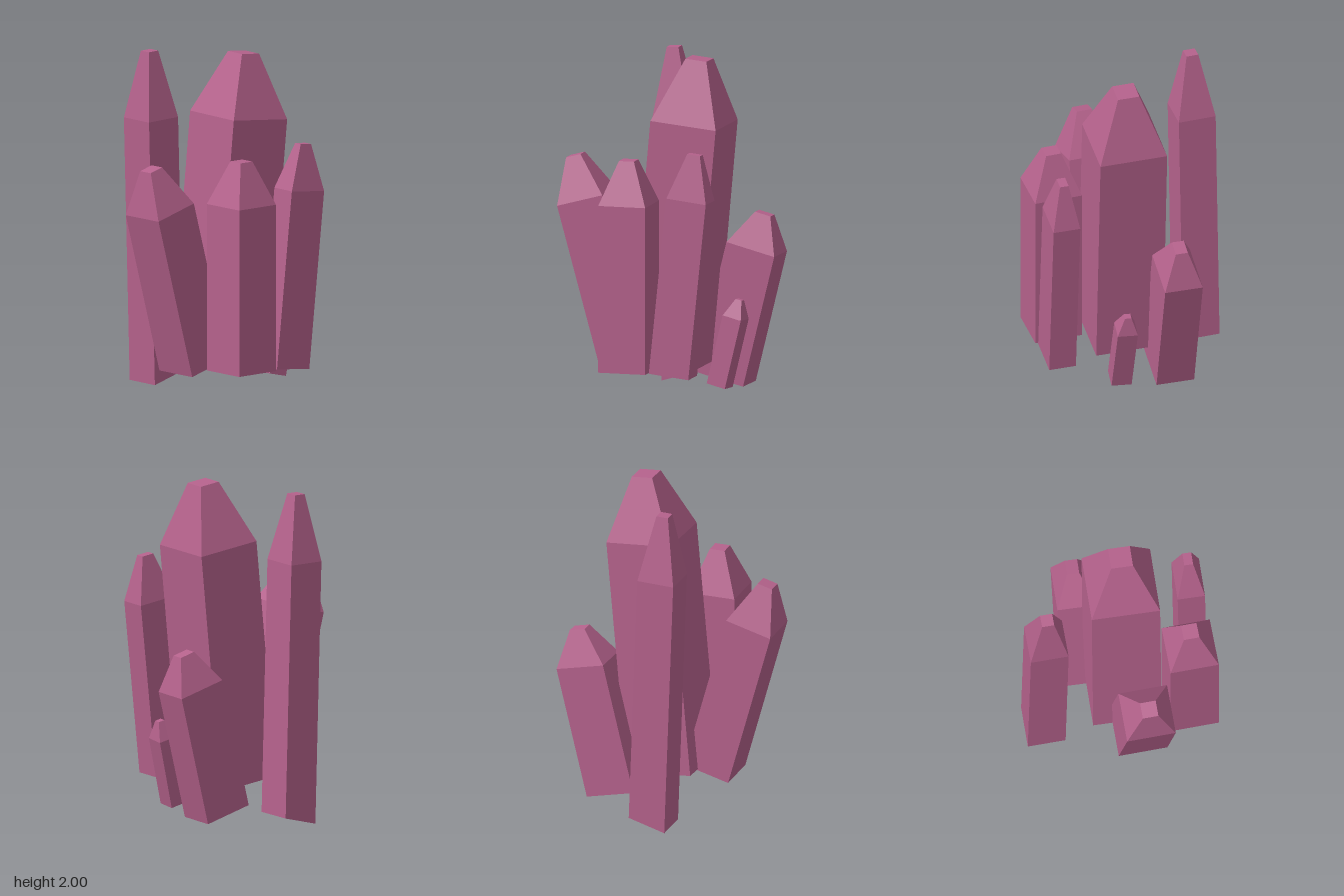
import * as THREE from 'three';

const SHOULDER = 0.795; // share of the length where the taper starts
const TIP = 0.32;       // width of the flat tip relative to the shaft

// Square shaft with a tapered, flat-topped point, running from base centre to tip centre
function crystal({ name, base, tip, w, d, yaw = 0, baseSlope = 0 }, material) {
  const from = new THREE.Vector3(...base);
  const axis = new THREE.Vector3(...tip).sub(from);
  const length = axis.length();
  const geometry = new THREE.BoxGeometry(w, 1, d, 1, 2, 1);
  const p = geometry.attributes.position;
  for (let i = 0; i < p.count; i++) {
    const y = p.getY(i);
    if (y > 0.25) p.setXYZ(i, p.getX(i) * TIP, length, p.getZ(i) * TIP);
    else if (y > -0.25) p.setY(i, length * SHOULDER);
    else p.setY(i, p.getX(i) * baseSlope);
  }
  geometry.computeVertexNormals();
  const mesh = new THREE.Mesh(geometry, material);
  mesh.name = name;
  mesh.position.copy(from);
  mesh.quaternion
    .setFromUnitVectors(new THREE.Vector3(0, 1, 0), axis.normalize())
    .multiply(new THREE.Quaternion().setFromAxisAngle(new THREE.Vector3(0, 1, 0), yaw));
  return mesh;
}

const CRYSTALS = [
  { name: 'mainCrystal', base: [0.022, 0.19, 0.035], tip: [0.19, 1.992, 0.056], w: 0.405, d: 0.405, yaw: -0.04 },
  { name: 'backCrystal', base: [-0.043, 0.03, -0.448], tip: [-0.108, 1.97, -0.438], w: 0.225, d: 0.225, yaw: -0.01, baseSlope: 0.25 },
  { name: 'frontCrystal', base: [-0.139, 0.184, 0.409], tip: [-0.139, 1.43, 0.409], w: 0.287, d: 0.287 },
  { name: 'frontLeftCrystal', base: [0.148, 0.178, 0.465], tip: [0.285, 1.495, 0.475], w: 0.245, d: 0.162, yaw: -0.04 },
  { name: 'rightCrystal', base: [-0.227, 0.187, 0.085], tip: [-0.558, 1.39, 0.085], w: 0.286, d: 0.29 },
  { name: 'leftCrystal', base: [0.28, 0.07, -0.18], tip: [0.522, 1.052, -0.17], w: 0.305, d: 0.228, yaw: -0.05 },
  { name: 'smallCrystal', base: [0.338, 0.072, 0.14], tip: [0.458, 0.585, 0.13], w: 0.118, d: 0.12, yaw: -0.12 },
];

export function createModel() {
  const group = new THREE.Group();
  group.name = 'crystalCluster';
  const material = new THREE.MeshStandardMaterial({ color: 0xb5628c, flatShading: true });
  for (const c of CRYSTALS) group.add(crystal(c, material));
  return group;
}
